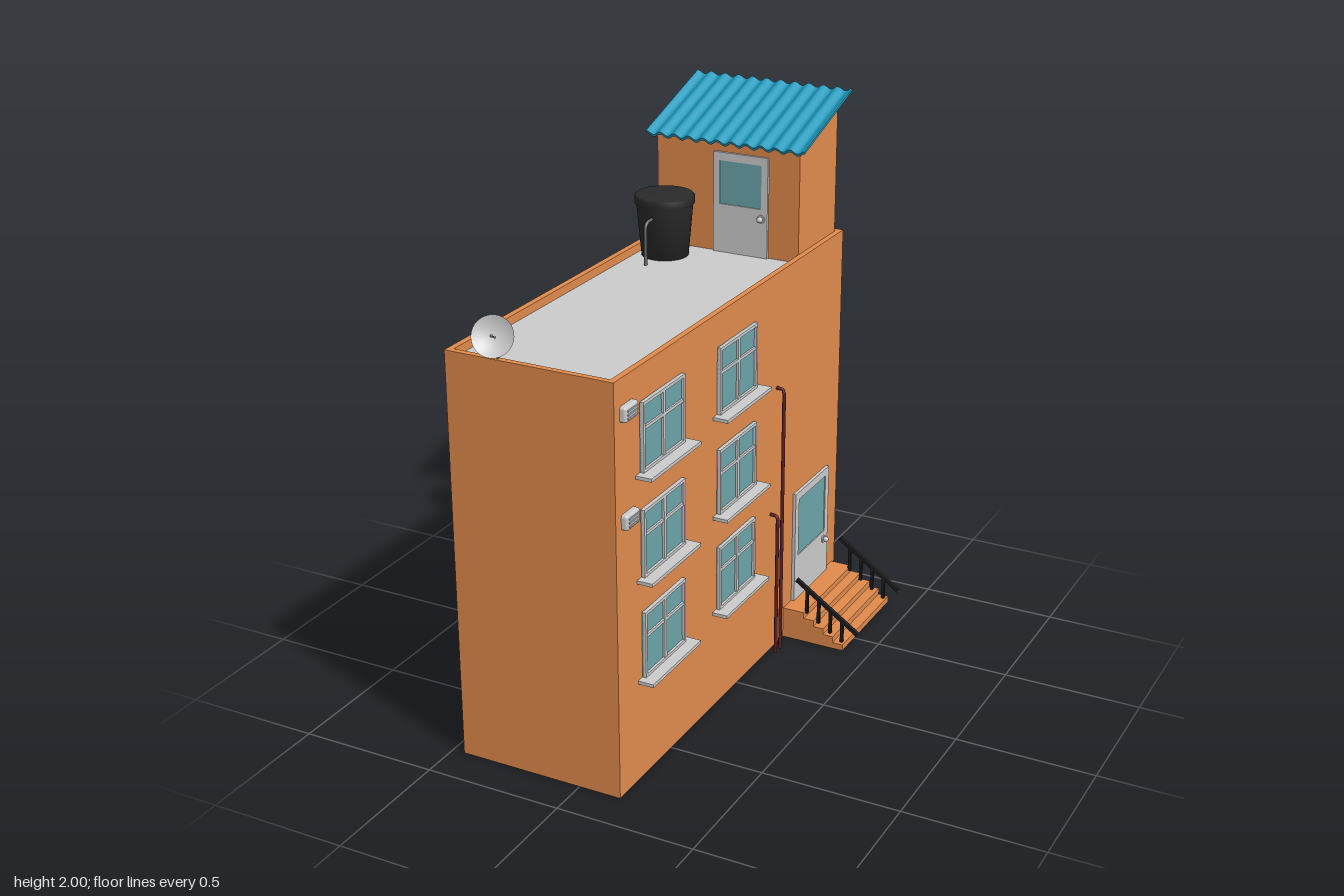
import * as THREE from 'three';
import { RoundedBoxGeometry } from 'three/addons/geometries/RoundedBoxGeometry.js';

const mat = (color, extra = {}) => new THREE.MeshStandardMaterial({ color, ...extra });
const M = {
  wall: mat(0xe08a4c), grey: mat(0xcccccc), glass: mat(0x6ba4aa), roof: mat(0x2299bb),
  black: mat(0x1c1c1c), tank: mat(0x2a2a2a), red: mat(0x5e1f1f), conduit: mat(0x666666),
  dish: mat(0xcccccc, { side: THREE.DoubleSide }),
};

function add(parent, name, geo, material, x = 0, y = 0, z = 0) {
  const m = new THREE.Mesh(geo, material);
  m.name = name;
  m.position.set(x, y, z);
  parent.add(m);
  return m;
}
const box = (p, name, w, h, d, material, x, y, z) => add(p, name, new THREE.BoxGeometry(w, h, d), material, x, y, z);
const polygon = (pts) => new THREE.Shape(pts.map(([x, y]) => new THREE.Vector2(x, y)));
const extrude = (shape, depth) => new THREE.ExtrudeGeometry(shape, { depth, bevelEnabled: false });

// Straight pipe runs joined by rounded corners
function pipe(p, name, pts, r, material, bend = 0.02) {
  const v = pts.map((q) => new THREE.Vector3(...q));
  const path = new THREE.CurvePath();
  let from = v[0];
  for (let i = 1; i < v.length - 1; i++) {
    const a = v[i].clone().add(v[i - 1].clone().sub(v[i]).setLength(bend));
    const b = v[i].clone().add(v[i + 1].clone().sub(v[i]).setLength(bend));
    path.add(new THREE.LineCurve3(from, a));
    path.add(new THREE.QuadraticBezierCurve3(a, v[i], b));
    from = b;
  }
  path.add(new THREE.LineCurve3(from, v[v.length - 1]));
  return add(p, name, new THREE.TubeGeometry(path, 64, r, 10), material);
}

// Group on a wall; its local +z points out of the wall
function mount(parent, name, x, y, z, turn) {
  const g = new THREE.Group();
  g.name = name;
  g.position.set(x, y, z);
  g.rotation.y = turn;
  parent.add(g);
  return g;
}

// Four-pane window with sill, origin at bottom centre
function makeWindow(g, w, h, bar, sillW, sillD) {
  box(g, 'glass', w, h, 0.006, M.glass, 0, h / 2, 0.002);
  const transom = h * 0.625;
  for (const s of [-1, 1]) {
    box(g, 'frameSide', bar, h, 0.02, M.grey, s * (w - bar) / 2, h / 2, 0.004);
  }
  for (const y of [bar / 2, h - bar / 2]) box(g, 'frameRail', w, bar, 0.02, M.grey, 0, y, 0.004);
  box(g, 'mullion', bar * 1.3, h, 0.018, M.grey, 0, h / 2, 0.004);
  box(g, 'transom', w, bar, 0.016, M.grey, 0, transom, 0.004);
  box(g, 'sill', sillW, 0.012, sillD, M.grey, 0, -0.005, sillD / 2);
}

// Glazed door with knob, origin at bottom centre
function makeDoor(g, w, h, glassW, y0, y1, knobX, knobY) {
  const leaf = polygon([[-w / 2, 0], [w / 2, 0], [w / 2, h], [-w / 2, h]]);
  const a = glassW / 2;
  leaf.holes.push(new THREE.Path([[-a, y0], [-a, y1], [a, y1], [a, y0]].map((q) => new THREE.Vector2(...q))));
  add(g, 'doorLeaf', extrude(leaf, 0.012), M.grey);
  box(g, 'doorGlass', glassW, y1 - y0, 0.008, M.glass, 0, (y0 + y1) / 2, 0.004);
  const rose = add(g, 'knobPlate', new THREE.CylinderGeometry(0.015, 0.015, 0.006, 20), M.grey, knobX, knobY, 0.014);
  rose.rotation.x = Math.PI / 2;
  add(g, 'knob', new THREE.SphereGeometry(0.011, 16, 12), M.grey, knobX, knobY, 0.024);
}

// Small louvred vent
function makeVent(g) {
  add(g, 'ventBody', new RoundedBoxGeometry(0.085, 0.054, 0.04, 3, 0.01), M.grey, 0, 0, 0.002);
  for (let i = -1; i <= 1; i++) box(g, 'louvre', 0.065, 0.005, 0.006, M.grey, 0, i * 0.013, 0.022);
}

export function createModel() {
  const root = new THREE.Group();
  root.name = 'building';
  const X0 = -0.455, X1 = 0.155, Z0 = -0.855, Z1 = 0.855, H = 1.47, deck = 1.44;
  const cx = (X0 + X1) / 2, t = 0.022;

  // Walls with parapet, floor and roof deck
  const plan = polygon([[X0, Z0], [X1, Z0], [X1, Z1], [X0, Z1]]);
  plan.holes.push(new THREE.Path([[X0 + t, Z0 + t], [X0 + t, Z1 - t], [X1 - t, Z1 - t], [X1 - t, Z0 + t]]
    .map((q) => new THREE.Vector2(...q))));
  const walls = extrude(plan, H);
  walls.rotateX(-Math.PI / 2);
  add(root, 'walls', walls, M.wall);
  box(root, 'floor', X1 - X0 - t, 0.02, Z1 - Z0 - t, M.wall, cx, 0.01, 0);
  box(root, 'roofDeck', X1 - X0 - 2 * t, 0.02, Z1 - Z0 - 2 * t, M.grey, cx, deck - 0.01, 0);

  // Stair house with sloping top
  const house = extrude(polygon([[-0.825, deck], [-0.51, deck], [-0.51, 1.845], [-0.825, 1.965]]), 0.565);
  house.rotateY(-Math.PI / 2);
  add(root, 'stairHouse', house, M.wall, 0.134, 0, 0);

  // Corrugated roof sheet
  const n = 132, waves = 11, top = [], low = [];
  for (let i = 0; i <= n; i++) {
    const x = X0 + (i / n) * 0.625;
    const y = 0.007 * Math.cos((i / n) * waves * Math.PI * 2);
    low.push([x, y - 0.005]);
    top.unshift([x, y + 0.005]);
  }
  const sheet = add(root, 'corrugatedRoof', extrude(polygon([...low, ...top]), 0.424), M.roof, 0, 1.987, -0.872);
  sheet.rotation.x = Math.atan2(0.135, 0.4);

  // Doors
  makeDoor(mount(root, 'roofDoor', -0.093, deck, -0.512, 0), 0.215, 0.37, 0.165, 0.18, 0.34, 0.083, 0.145);
  makeDoor(mount(root, 'entranceDoor', X1, 0.12, -0.608, Math.PI / 2), 0.297, 0.44, 0.237, 0.18, 0.41, 0.108, 0.15);

  // Main windows on the right wall
  for (const y of [0.375, 0.742, 1.11]) {
    for (const z of [0.556, 0.024]) {
      makeWindow(mount(root, 'window', X1, y, z, Math.PI / 2), 0.28, 0.24, 0.011, 0.338, 0.056);
    }
  }
  // Small stair house windows
  for (const [x, z, turn] of [[0.01, -0.825, Math.PI], [-0.245, -0.825, Math.PI], [-0.431, -0.655, -Math.PI / 2]]) {
    makeWindow(mount(root, 'smallWindow', x, 1.785, z, turn), 0.11, 0.075, 0.006, 0.128, 0.014);
  }

  // Vents
  for (const y of [1.352, 0.987]) makeVent(mount(root, 'vent', X1, y, 0.778, Math.PI / 2));
  makeVent(mount(root, 'backVent', 0.07, 0.705, Z0, Math.PI));

  // Entrance steps
  const steps = [[X1 - 0.01, 0], [0.4, 0]];
  for (let i = 0; i < 5; i++) {
    steps.push([0.4 - i * 0.04, (i + 1) * 0.024]);
    if (i < 4) steps.push([0.36 - i * 0.04, (i + 1) * 0.024]);
  }
  steps.push([X1 - 0.01, 0.12]);
  add(root, 'steps', extrude(polygon(steps), 0.44), M.wall, 0, 0, -0.83);

  // Handrails
  for (const z of [-0.412, -0.808]) {
    const rail = mount(root, 'handrail', 0, 0, z, 0);
    const bar = box(rail, 'rail', 0.303, 0.014, 0.014, M.black, 0.324, 0.155, 0);
    bar.rotation.z = -Math.atan2(0.17, 0.25);
    for (let i = 0; i < 4; i++) {
      const x = 0.243 + i * 0.048;
      const y1 = 0.155 - (x - 0.324) * 0.68, y0 = Math.max(0.02, 0.11 - i * 0.03);
      box(rail, 'railPost', 0.011, y1 - y0, 0.011, M.black, x, (y0 + y1) / 2, 0);
    }
  }

  // Red wall pipes
  for (const [z, h] of [[-0.266, 0.56], [-0.304, 1.04]]) {
    pipe(root, 'wallPipe', [[0.184, 0, z], [0.184, h, z], [X1 - 0.01, h, z]], 0.0065, M.red, 0.014);
  }

  // Back meter boxes with conduits and cables
  for (const x of [-0.271, -0.172]) {
    box(root, 'meterBox', 0.074, 0.122, 0.05, M.grey, x, 1.228, -0.879);
    pipe(root, 'conduit', [[x, 0, -0.879], [x, 1.17, -0.879]], 0.008, M.conduit);
    for (const s of [-0.018, 0.018]) {
      pipe(root, 'cable', [[x + s, 1.28, -0.884], [x + s, 1.345, -0.878], [x + s, 1.355, Z0 + 0.01]], 0.009, M.red, 0.018);
    }
  }

  // Water tank with lid rim and outlet pipe
  const profile = [[0, 0], [0.085, 0], [0.102, 0.19], [0.108, 0.195], [0.108, 0.22], [0.102, 0.225], [0, 0.228]];
  const tx = -0.337, tz = -0.387;
  add(root, 'waterTank', new THREE.LatheGeometry(profile.map((q) => new THREE.Vector2(...q)), 40), M.tank, tx, deck, tz);
  const rim = add(root, 'tankRim', new THREE.TorusGeometry(0.104, 0.004, 8, 40), M.tank, tx, deck + 0.205, tz);
  rim.rotation.x = Math.PI / 2;
  pipe(root, 'tankPipe', [[tx, deck, -0.242], [tx, 1.595, -0.242], [tx, 1.595, -0.31]], 0.006, M.conduit, 0.03);

  // Satellite dish: bowl, feed arm, receiver and post
  const dish = mount(root, 'satelliteDish', -0.262, 1.55, 0.866, 0);
  const bowl = [];
  for (let i = 0; i <= 8; i++) bowl.push(new THREE.Vector2(i * 0.0085, 0.022 * (i / 8) ** 2 - 0.008));
  add(dish, 'dishBowl', new THREE.LatheGeometry(bowl, 32), M.dish);
  add(dish, 'feedArm', new THREE.CylinderGeometry(0.002, 0.002, 0.04, 8), M.conduit, 0, 0.012, 0);
  add(dish, 'receiver', new THREE.SphereGeometry(0.005, 10, 8), M.conduit, 0, 0.034, 0);
  dish.quaternion.setFromUnitVectors(new THREE.Vector3(0, 1, 0), new THREE.Vector3(0.34, 0.43, 0.84).normalize());
  pipe(root, 'dishPost', [[-0.264, 1.46, 0.844], [-0.264, 1.54, 0.844], [-0.262, 1.546, 0.862]], 0.004, M.conduit, 0.008);

  return root;
}
